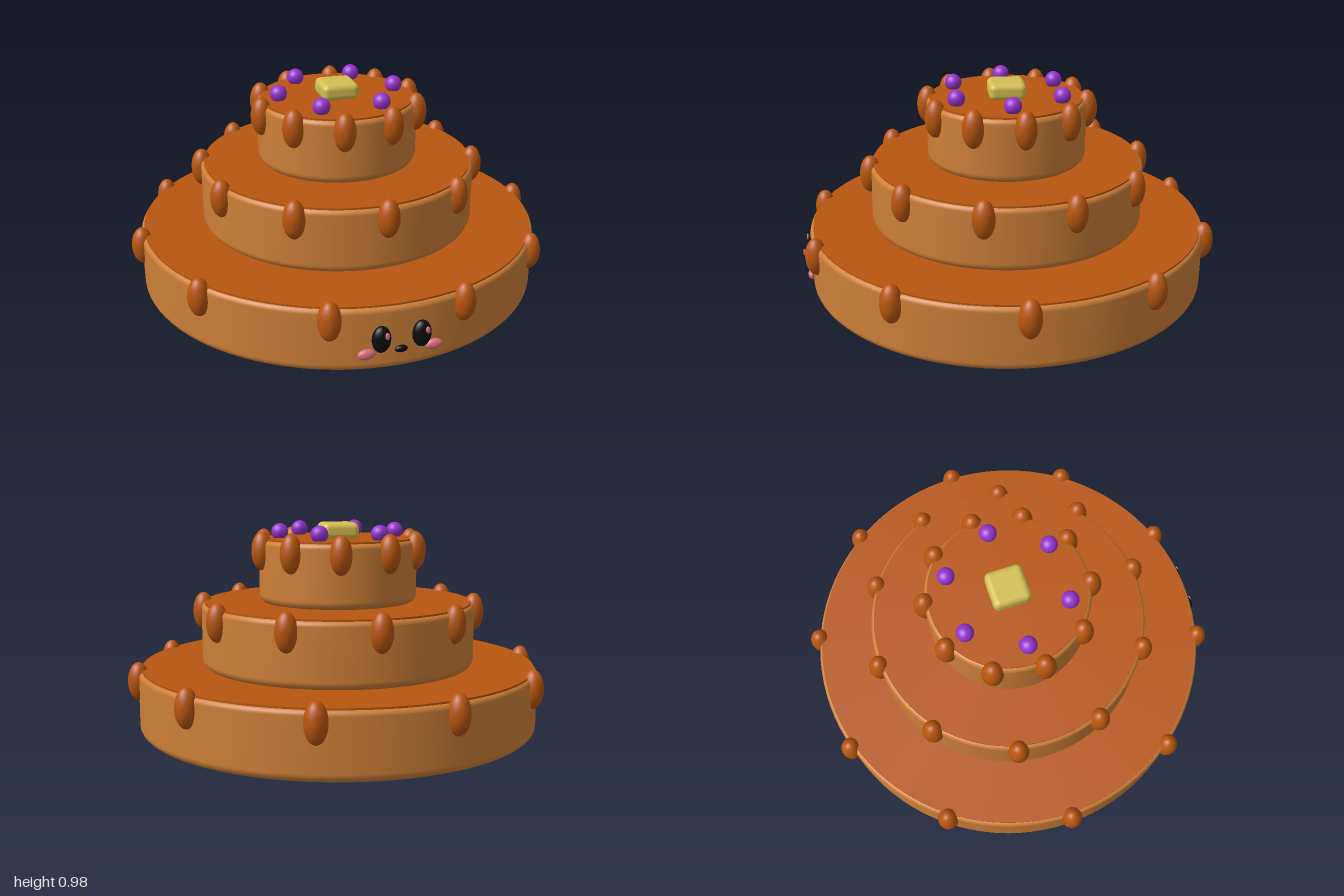
import * as THREE from 'three';
import { RoundedBoxGeometry } from 'three/addons/geometries/RoundedBoxGeometry.js';

const mat = (name, color) => {
  const m = new THREE.MeshStandardMaterial({ color });
  m.name = name;
  return m;
};

export function createModel() {
  const sponge = mat('sponge', 0xcd7f38);
  const syrup = mat('syrup', 0xb8560f);
  const berry = mat('berry', 0x9632cf);
  const butter = mat('butter', 0xd4bf52);
  const black = mat('black', 0x0b0b0b);
  const pink = mat('pink', 0xd9707c);

  const model = new THREE.Group();
  model.name = 'tieredCake';
  const cake = new THREE.Group();
  cake.name = 'cake';
  cake.position.z = -0.02;
  model.add(cake);

  const add = (name, geometry, material, x = 0, y = 0, z = 0) => {
    const mesh = new THREE.Mesh(geometry, material);
    mesh.name = name;
    mesh.position.set(x, y, z);
    cake.add(mesh);
    return mesh;
  };
  const ball = new THREE.SphereGeometry(1, 28, 20);
  const blob = (name, material, [x, y, z], [sx, sy, sz]) => {
    const mesh = add(name, ball, material, x, y, z);
    mesh.scale.set(sx, sy, sz);
    return mesh;
  };

  // Side profile of a tier, with rounded lower and upper edges
  const tierGeometry = (r, h) => {
    const pts = [new THREE.Vector2(0, 0)];
    const corner = (c, y, rad, start) => {
      for (let i = 0; i <= 6; i++) {
        const a = start + (i / 6) * Math.PI / 2;
        pts.push(new THREE.Vector2(c + rad * Math.cos(a), y + rad * Math.sin(a)));
      }
    };
    corner(r - 0.04, 0.04, 0.04, -Math.PI / 2);
    corner(r - 0.025, h - 0.025, 0.025, 0);
    pts.push(new THREE.Vector2(0, h));
    return new THREE.LatheGeometry(pts, 96);
  };

  // Three tiers, each with a syrup top and ten drips
  [0.95, 0.65, 0.375].forEach((r, tier) => {
    const base = tier * 0.3;
    add('tier', tierGeometry(r, 0.3), sponge, 0, base, 0);
    add('syrupTop', new THREE.CylinderGeometry(r - 0.015, r - 0.015, 0.016, 96), syrup, 0, base + 0.298, 0);
    for (let i = 0; i < 10; i++) {
      const a = (i / 10) * Math.PI * 2 + tier * 0.25;
      blob('drip', syrup, [r * Math.cos(a), base + 0.25, r * Math.sin(a)], [0.05, 0.09, 0.05]);
    }
  });

  // Butter pat and ring of berries
  add('butterPat', new RoundedBoxGeometry(0.175, 0.08, 0.175, 4, 0.028), butter, 0, 0.937, 0);
  for (let i = 0; i < 6; i++) {
    const a = (i / 6) * Math.PI * 2;
    blob('berry', berry, [0.28 * Math.cos(a), 0.935, 0.28 * Math.sin(a)], [0.04, 0.04, 0.04]);
  }

  // Face on the bottom tier
  for (const s of [-1, 1]) {
    blob('eye', black, [s * 0.088, 0.16, 0.955], [0.041, 0.061, 0.03]);
    blob('eyeShine', pink, [s * 0.088 + 0.017, 0.184, 0.979], [0.011, 0.017, 0.006]);
    blob('cheek', pink, [s * 0.148, 0.092, 0.945], [0.039, 0.024, 0.018]);
  }
  blob('mouth', black, [0, 0.1, 0.953], [0.028, 0.016, 0.014]);

  return model;
}
